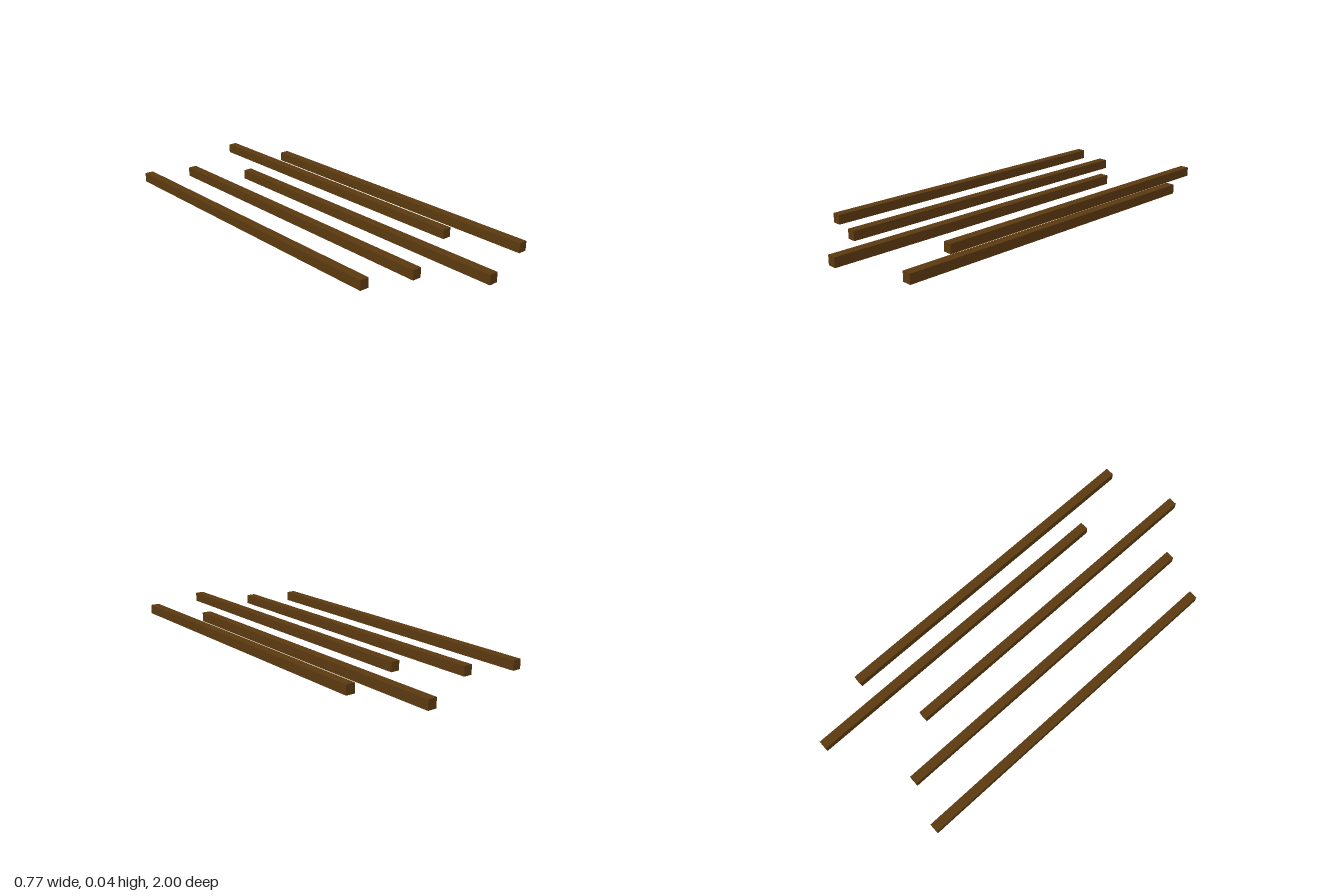
import * as THREE from 'three';

export function createModel() {
  const group = new THREE.Group();
  group.name = 'woodenBeams';
  const wood = new THREE.MeshStandardMaterial({ color: 0x5c3a10 });

  // Five equal square beams, staggered lengthwise: [x, z] of each centre
  const width = 0.042, height = 0.044, length = 1.59;
  const centres = [[-0.366, -0.079], [-0.151, -0.012], [0.042, 0.205], [0.236, -0.205], [0.366, 0.095]];
  const geometry = new THREE.BoxGeometry(width, height, length);

  centres.forEach(([x, z], i) => {
    const beam = new THREE.Mesh(geometry, wood);
    beam.name = `beam${i + 1}`;
    beam.position.set(x, height / 2, z);
    group.add(beam);
  });
  return group;
}
